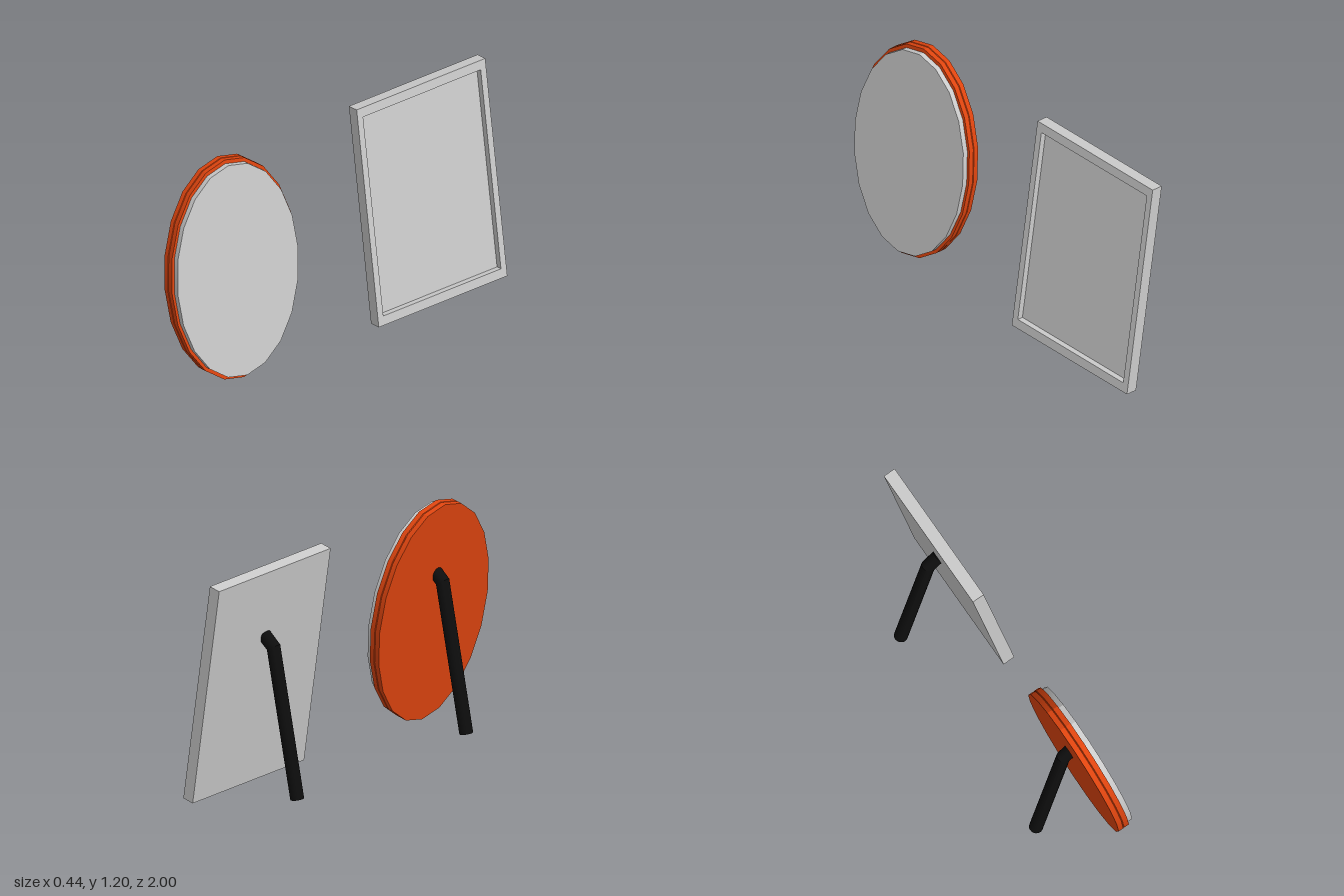
import * as THREE from 'three';
import { toCreasedNormals } from 'three/addons/utils/BufferGeometryUtils.js';

const grey = new THREE.MeshStandardMaterial({ color: 0xcccccc });
const orange = new THREE.MeshStandardMaterial({ color: 0xe0450f });
const black = new THREE.MeshStandardMaterial({ color: 0x0d0d0d });

function addMesh(parent, name, geometry, material) {
  const mesh = new THREE.Mesh(geometry, material);
  mesh.name = name;
  parent.add(mesh);
  return mesh;
}

// Group leaning back by an angle, its face looking along +x
function leaningGroup(name, x, y, z, degrees) {
  const group = new THREE.Group();
  group.name = name;
  group.position.set(x, y, z);
  group.rotation.z = THREE.MathUtils.degToRad(degrees);
  return group;
}

// Elliptical disc turned from a [radius, depth] profile, axis along x
function ovalDisc(profile, halfHeight, halfWidth) {
  const points = profile.map(([r, d]) => new THREE.Vector2(r, d));
  const geo = new THREE.LatheGeometry(points, 20);
  geo.rotateZ(-Math.PI / 2);
  geo.scale(1, halfHeight, halfWidth);
  return toCreasedNormals(geo, 0.4);
}

// Bent stand: round bar with a mitred elbow that runs into the back
function standGeometry() {
  const r = 0.035;
  // ring centre x, y, then the in-plane radius vector x, y
  const rings = [
    [-0.188, 0.015, 0.0343, -0.0072],
    [-0.025, 0.783, 0.0316, -0.0198],
    [0.038, 0.832, 0.0214, -0.0277],
  ];
  const geo = new THREE.CylinderGeometry(r, r, 1, 20, 2);
  const pos = geo.attributes.position;
  for (let i = 0; i < pos.count; i++) {
    const [cx, cy, ux, uy] = rings[Math.round((pos.getY(i) + 0.5) * 2)];
    const s = pos.getX(i) / r;
    pos.setXY(i, cx + s * ux, cy + s * uy);
  }
  return toCreasedNormals(geo, 0.5);
}

function rectangle(target, halfWidth, halfHeight) {
  target.moveTo(-halfWidth, -halfHeight);
  target.lineTo(halfWidth, -halfHeight);
  target.lineTo(halfWidth, halfHeight);
  target.lineTo(-halfWidth, halfHeight);
  target.closePath();
  return target;
}

export function createModel() {
  const model = new THREE.Group();
  model.name = 'tabletopFrames';

  // Oval frame: rim with a fine groove and a raised plate in front
  const oval = leaningGroup('ovalFrame', 0.067, 0.606, 0.607, 7.6);
  addMesh(oval, 'ovalRim', ovalDisc([
    [0, -0.031], [1, -0.031], [1, -0.003], [0.992, 0], [1, 0.003], [1, 0.031], [0, 0.031],
  ], 0.603, 0.388), orange);
  addMesh(oval, 'ovalPlate', ovalDisc([
    [0, 0.02], [1, 0.02], [1, 0.06], [0, 0.06],
  ], 0.582, 0.374), grey);
  model.add(oval);

  // Rectangular frame: border around a recessed panel
  const rect = leaningGroup('rectangularFrame', 0.096, 0.6075, -0.6, 8.78);
  const border = rectangle(new THREE.Shape(), 0.4, 0.6);
  border.holes.push(rectangle(new THREE.Path(), 0.366, 0.549));
  const borderGeo = new THREE.ExtrudeGeometry(border, { depth: 0.065, bevelEnabled: false });
  borderGeo.translate(0, 0, -0.0325).rotateY(Math.PI / 2);
  addMesh(rect, 'border', borderGeo, grey);
  const panel = addMesh(rect, 'recessedPanel', new THREE.BoxGeometry(0.032, 1.098, 0.732), grey);
  panel.position.x = -0.0165;
  model.add(rect);

  // One stand behind each frame
  const stand = standGeometry();
  for (const [name, z] of [['ovalStand', 0.607], ['rectangularStand', -0.607]]) {
    addMesh(model, name, stand, black).position.z = z;
  }
  return model;
}
